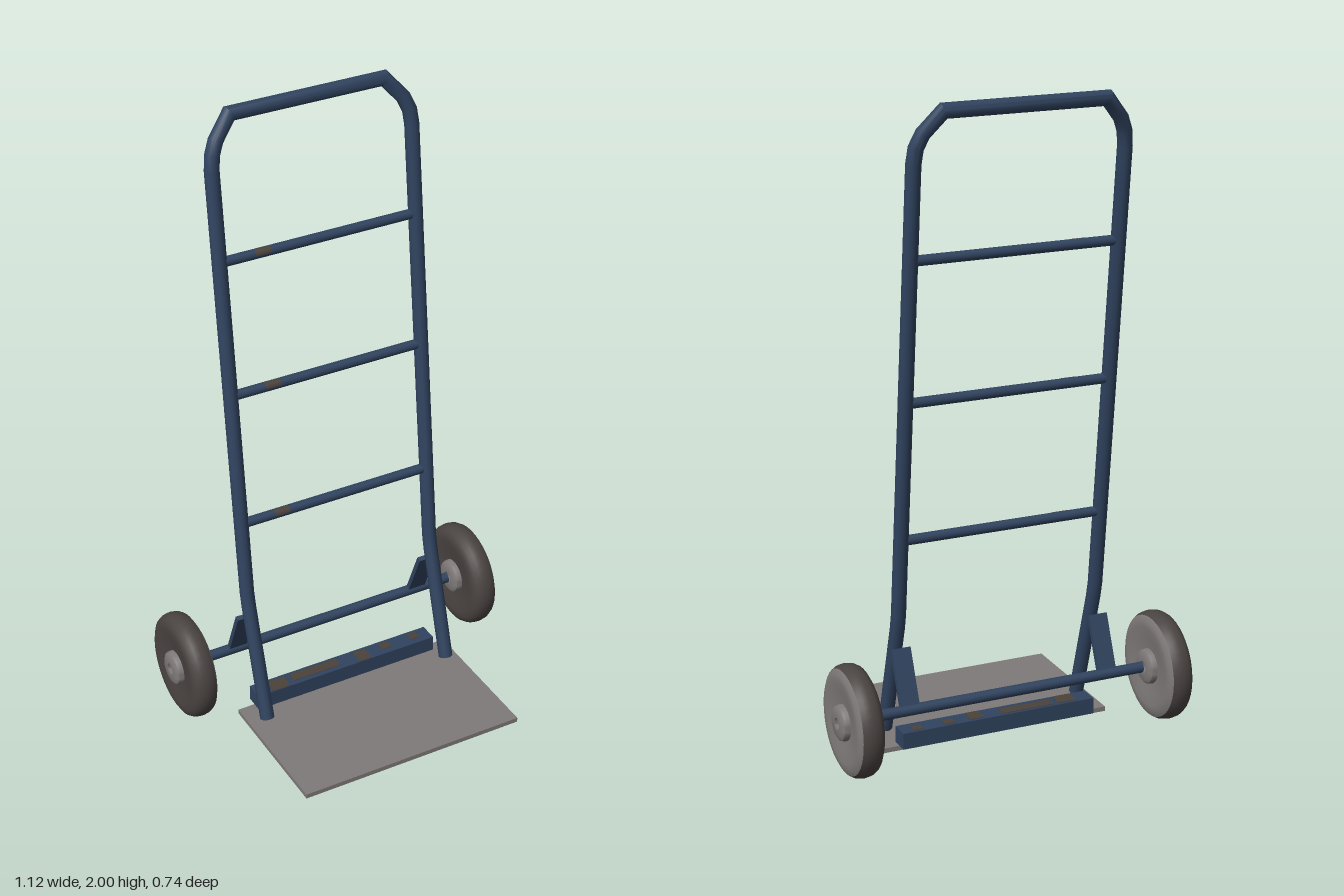
import * as THREE from 'three';
import { toCreasedNormals } from 'three/addons/utils/BufferGeometryUtils.js';

const mat = (name, color, side = THREE.FrontSide) =>
  Object.assign(new THREE.MeshStandardMaterial({ color, side }), { name });

// Round tube along a polyline with mitred corners and capped ends
function mitredTube(path, radius, sides = 16) {
  const pos = [], idx = [];
  const dirs = path.slice(1).map((p, i) => p.clone().sub(path[i]).normalize());
  const u = new THREE.Vector3(1, 0, 0);
  const v = dirs[0].clone().cross(u).normalize();
  let ring = [];
  for (let j = 0; j < sides; j++) {
    const a = (j / sides) * Math.PI * 2;
    ring.push(path[0].clone().addScaledVector(u, radius * Math.cos(a)).addScaledVector(v, radius * Math.sin(a)));
  }
  const addRing = () => ring.forEach(p => pos.push(p.x, p.y, p.z));
  const addCap = (centre, flip) => {
    const base = pos.length / 3;
    pos.push(centre.x, centre.y, centre.z);
    addRing();
    for (let j = 0; j < sides; j++) {
      const a = base + 1 + j, b = base + 1 + ((j + 1) % sides);
      idx.push(base, flip ? b : a, flip ? a : b);
    }
  };
  addCap(path[0], true);
  const start = pos.length / 3;
  addRing();
  for (let i = 0; i < dirs.length; i++) {
    const d = dirs[i];
    const n = d.clone().add(dirs[i + 1] || d).normalize();
    // Slide the ring along the segment onto the mitre plane
    ring = ring.map(p => p.clone().addScaledVector(d, path[i + 1].clone().sub(p).dot(n) / d.dot(n)));
    addRing();
    for (let j = 0; j < sides; j++) {
      const k = (j + 1) % sides, r0 = start + i * sides, r1 = r0 + sides;
      idx.push(r0 + j, r0 + k, r1 + j, r0 + k, r1 + k, r1 + j);
    }
  }
  addCap(path[path.length - 1], false);
  const geo = new THREE.BufferGeometry();
  geo.setAttribute('position', new THREE.Float32BufferAttribute(pos, 3));
  geo.setIndex(idx);
  return toCreasedNormals(geo, 0.6);
}

// Surface of revolution about the x axis from [radius, x] pairs
function turned(profile, crease) {
  const geo = new THREE.LatheGeometry(profile.map(([r, x]) => new THREE.Vector2(r, x)), 40);
  geo.rotateZ(-Math.PI / 2);
  return toCreasedNormals(geo, crease);
}

export function createModel() {
  const model = new THREE.Group();
  model.name = 'handTruck';
  const blue = mat('bluePaint', 0x30435f);
  const bluePipe = mat('bluePipePaint', 0x30435f, THREE.DoubleSide);
  const steel = mat('greySteel', 0x7f7a7a);
  const rubber = mat('darkRubber', 0x4a4442);
  const rust = mat('rust', 0x4c423b);

  const add = (name, geo, material, x = 0, y = 0, z = 0, parent = model) => {
    const mesh = new THREE.Mesh(geo, material);
    mesh.name = name;
    mesh.position.set(x, y, z);
    parent.add(mesh);
    return mesh;
  };

  // Bent main frame, one tube from foot to foot
  const half = [
    [0.326, 0.037, 0.007], [0.326, 0.4, -0.102], [0.326, 0.45, -0.113], [0.326, 1.83, -0.258],
    [0.321, 1.875, -0.264], [0.304, 1.915, -0.273], [0.25, 1.978, -0.293],
  ].map(p => new THREE.Vector3(...p));
  const otherHalf = half.map(p => new THREE.Vector3(-p.x, p.y, p.z)).reverse();
  add('frame', mitredTube([...half, ...otherHalf], 0.0225), blue);

  // Cross rungs, each with a worn patch
  for (const y of [0.69, 1.122, 1.55]) {
    const z = -0.113 - ((y - 0.45) * 0.145) / 1.38;
    const rung = new THREE.CylinderGeometry(0.0155, 0.0155, 0.63, 14).rotateZ(Math.PI / 2);
    add('rung', rung, blue, 0, y, z);
    const patch = new THREE.CylinderGeometry(0.0162, 0.0162, 0.05, 6, 1, true, 0, 1.6).rotateZ(Math.PI / 2);
    add('rungRust', patch, rust, -0.19, y, z);
  }

  // Toe plate and the beam behind it
  add('toePlate', new THREE.BoxGeometry(0.754, 0.015, 0.462), steel, 0, 0.0075, 0.136);
  add('beam', new THREE.BoxGeometry(0.64, 0.052, 0.062), blue, 0, 0.041, -0.095);
  const patches = [[-0.235, 0.06, 0.05], [-0.1, 0.17, 0.035], [0.07, 0.045, 0.05], [0.16, 0.035, 0.03], [0.265, 0.03, 0.03]];
  for (const [x, w, d] of patches) {
    add('beamRust', new THREE.BoxGeometry(w, 0.002, d), rust, x, 0.0675, -0.126 + d / 2 + 0.01);
  }

  // Hollow axle
  const axle = new THREE.CylinderGeometry(0.017, 0.017, 0.895, 16, 1, true).rotateZ(Math.PI / 2);
  add('axle', axle, bluePipe, 0, 0.177, -0.198);

  // Tyre: dark tread and one dark side, with the other side grey
  const tread = turned([
    [0.05, -0.03], [0.09, -0.034], [0.125, -0.041], [0.145, -0.04], [0.16, -0.032], [0.168, -0.019],
    [0.171, 0], [0.168, 0.019], [0.16, 0.032],
  ], 0.8);
  const side = turned([[0.16, 0.032], [0.145, 0.04], [0.125, 0.041], [0.09, 0.034], [0.05, 0.03]], 0.8);
  const hub = turned([
    [0.018, 0.054], [0.018, -0.054], [0.043, -0.054], [0.052, -0.048], [0.055, -0.038],
    [0.055, 0.038], [0.052, 0.048], [0.043, 0.054], [0.018, 0.054],
  ], 0.6);

  for (const s of [1, -1]) {
    const wheel = new THREE.Group();
    wheel.name = s > 0 ? 'leftWheel' : 'rightWheel';
    wheel.position.set(s * 0.506, 0.177, -0.199);
    model.add(wheel);
    add('tyreTread', tread, rubber, 0, 0, 0, wheel);
    add('tyreSide', side, steel, 0, 0, 0, wheel);
    add('hub', hub, steel, 0, 0, 0, wheel);

    // Sloping bracket from the frame down to the axle
    const bracket = add('axleBracket', new THREE.BoxGeometry(0.06, 0.19, 0.016), blue, s * 0.327, 0.26, -0.164);
    bracket.rotation.x = 0.4;
  }
  return model;
}
